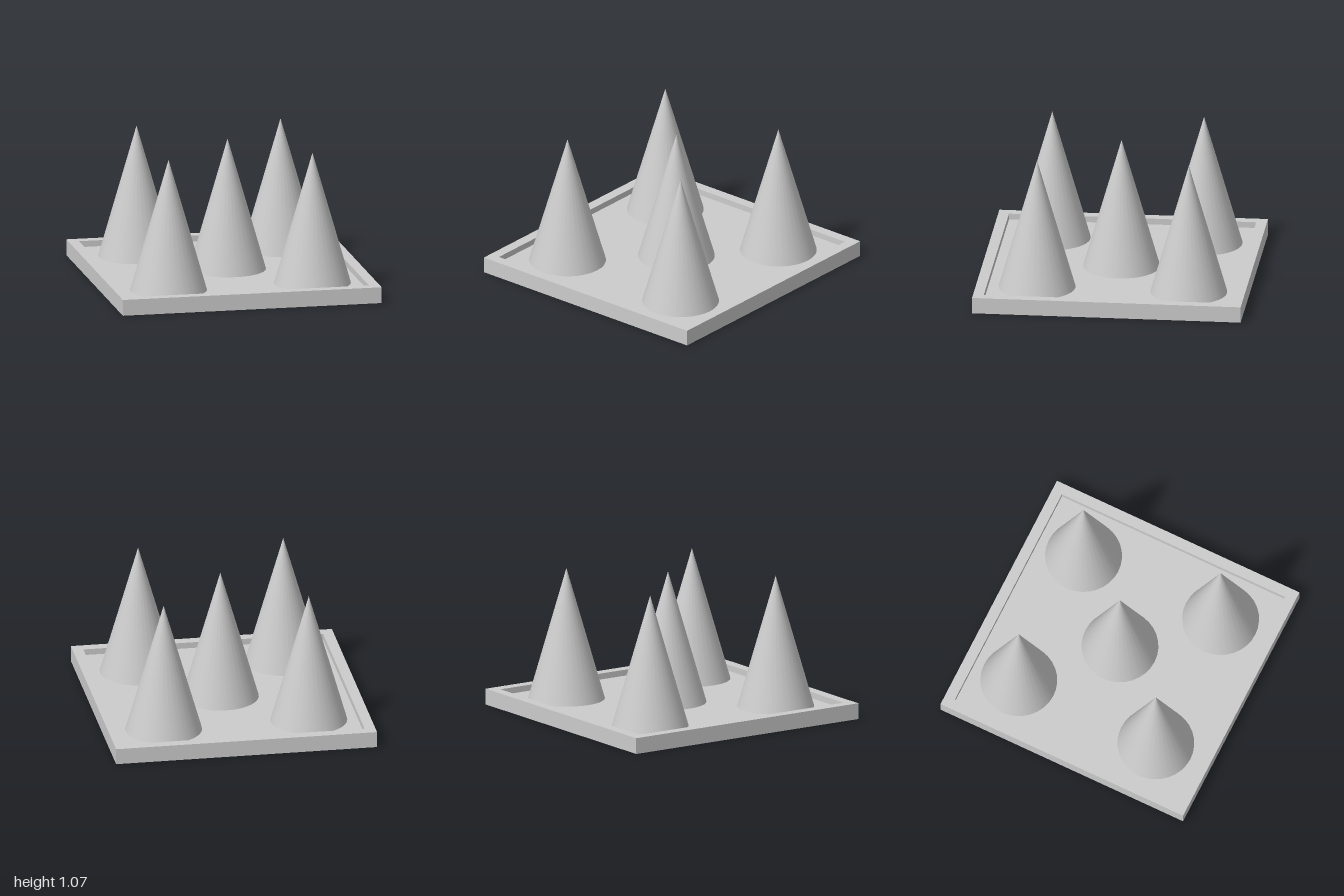
import * as THREE from 'three';

const WIDTH = 1.96, DEPTH = 2, HEIGHT = 0.12, FLOOR = 0.075, RIM = 0.08;

function rectangle(PathType, w, d) {
  const p = new PathType();
  p.moveTo(-w / 2, -d / 2);
  p.lineTo(w / 2, -d / 2);
  p.lineTo(w / 2, d / 2);
  p.lineTo(-w / 2, d / 2);
  p.closePath();
  return p;
}

export function createModel() {
  const group = new THREE.Group();
  const material = new THREE.MeshStandardMaterial({ color: 0xcccccc });

  const add = (name, geometry, x, y, z) => {
    const mesh = new THREE.Mesh(geometry, material);
    mesh.name = name;
    mesh.position.set(x, y, z);
    group.add(mesh);
  };

  // Square tray: solid floor with a raised rim around it
  add('trayFloor', new THREE.BoxGeometry(WIDTH, FLOOR, DEPTH), 0, FLOOR / 2, 0);

  const rimShape = rectangle(THREE.Shape, WIDTH, DEPTH);
  rimShape.holes.push(rectangle(THREE.Path, WIDTH - 2 * RIM, DEPTH - 2 * RIM));
  const rim = new THREE.ExtrudeGeometry(rimShape, { depth: HEIGHT - FLOOR, bevelEnabled: false });
  rim.rotateX(-Math.PI / 2);
  add('trayRim', rim, 0, FLOOR, 0);

  // Five cones standing on the tray floor: four corners and the middle
  const coneHeight = 1.065 - FLOOR;
  const cone = new THREE.ConeGeometry(0.285, coneHeight, 32, 1, true);
  const spots = [
    ['backRightCone', -0.54, -0.57],
    ['backLeftCone', 0.55, -0.57],
    ['middleCone', 0.03, -0.015],
    ['frontRightCone', -0.54, 0.56],
    ['frontLeftCone', 0.55, 0.56],
  ];
  for (const [name, x, z] of spots) add(name, cone, x, FLOOR + coneHeight / 2, z);

  return group;
}
